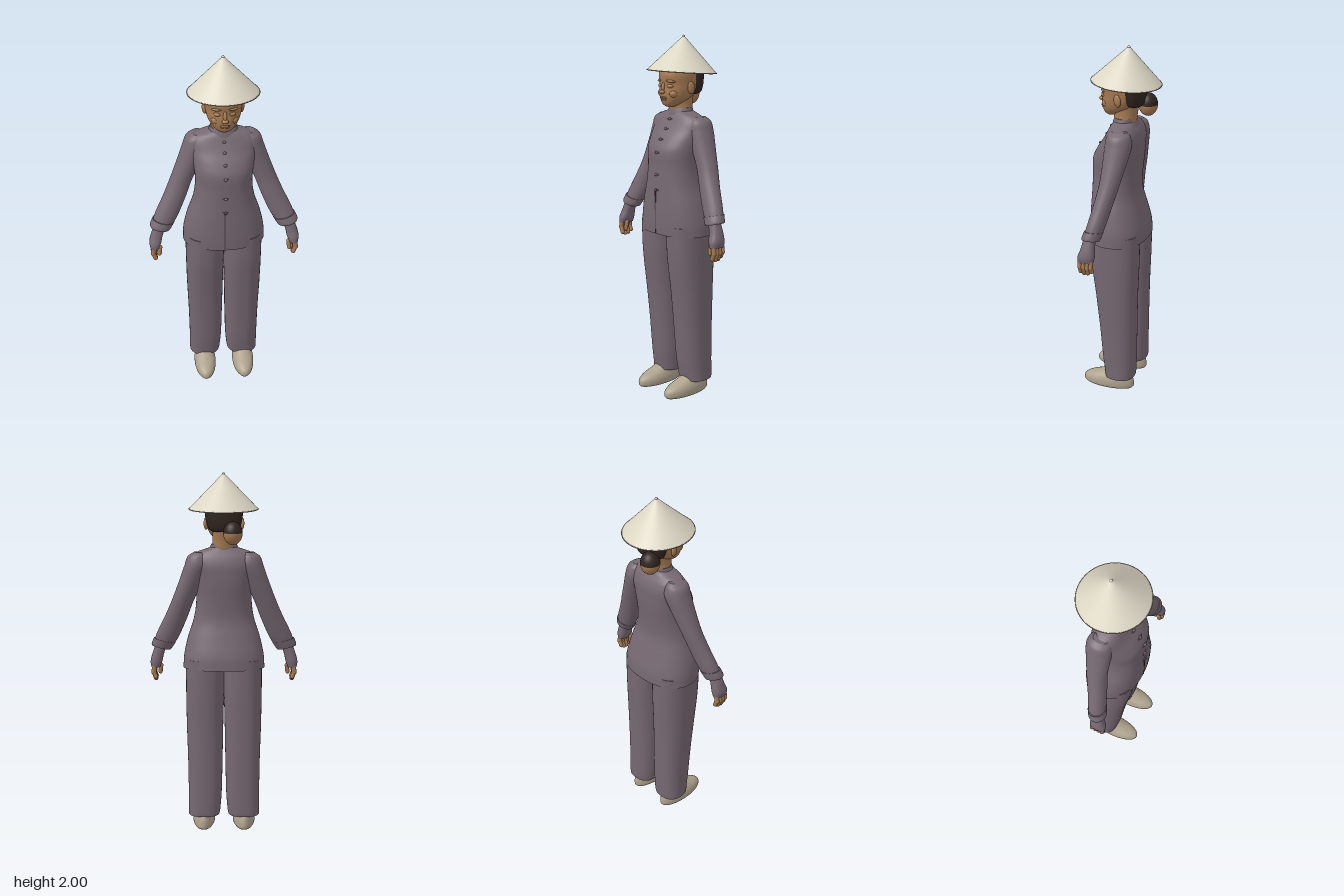
import * as THREE from 'three';

const mat = (name, color, side = THREE.FrontSide) => {
  const m = new THREE.MeshStandardMaterial({ color, side });
  m.name = name;
  return m;
};

// Smooth value of every column of a row table at height y
function rowAt(rows, y) {
  const last = rows.length - 1;
  let i = 0;
  while (i < last - 1 && y > rows[i + 1][0]) i++;
  const a = rows[i], b = rows[i + 1], h = b[0] - a[0];
  const t = Math.min(1, Math.max(0, (y - a[0]) / h));
  const slope = (k, c) => {
    const p = rows[Math.max(0, k - 1)], q = rows[Math.min(last, k + 1)];
    return (q[c] - p[c]) / (q[0] - p[0]);
  };
  return a.map((v, c) => c === 0 ? y :
    v * (2 * t ** 3 - 3 * t * t + 1) + b[c] * (3 * t * t - 2 * t ** 3) +
    h * (slope(i, c) * (t ** 3 - 2 * t * t + t) + slope(i + 1, c) * (t ** 3 - t * t)));
}

// Capped body through horizontal sections, rows ascending:
// [y, centre x, back z, front z, half width, slant of the section]
function loftGeometry(rows, { power = 2, side = 1, n = 40, steps = 5 } = {}) {
  const round = v => Math.sign(v) * Math.abs(v) ** (2 / power);
  const ring = ([y, cx, zb, zf, rx, slant = 0], scale = 1) =>
    Array.from({ length: n }, (_, j) => {
      const a = j / n * Math.PI * 2, dx = round(Math.cos(a)) * rx * scale;
      const z = (zb + zf) / 2 + round(Math.sin(a)) * (zf - zb) / 2 * scale;
      return [side * cx + dx, y + slant * side * dx, z];
    });
  const levels = [rows[0]];
  for (let i = 0; i < rows.length - 1; i++)
    for (let k = 1; k <= steps; k++)
      levels.push(rowAt(rows, rows[i][0] + (rows[i + 1][0] - rows[i][0]) * k / steps));
  const end = levels[levels.length - 1];
  const rings = [ring(rows[0], 0), ring(rows[0]), ...levels.map(l => ring(l)), ring(end), ring(end, 0)];
  const index = [];
  for (let i = 0; i < rings.length - 1; i++) {
    if (i === 1 || i === rings.length - 3) continue; // keeps cap edges sharp
    for (let j = 0; j < n; j++) {
      const a = i * n + j, b = i * n + (j + 1) % n;
      index.push(a, a + n, b, b, a + n, b + n);
    }
  }
  const g = new THREE.BufferGeometry();
  g.setAttribute('position', new THREE.Float32BufferAttribute(rings.flat(2), 3));
  g.setIndex(index);
  g.computeVertexNormals();
  return g;
}

export function createModel() {
  const model = new THREE.Group();
  const cloth = mat('mauve cloth', 0x766872);
  const seam = mat('dark seam', 0x4a4048);
  const skin = mat('skin', 0xa67a52);
  const hair = mat('dark hair', 0x30241f);
  const straw = mat('pale straw', 0xdcd6c4, THREE.DoubleSide);
  const edge = mat('straw edge', 0x8d8872);
  const shoeMat = mat('beige shoe', 0xaea28d);

  const add = (name, geometry, material, pos = [0, 0, 0], scale = [1, 1, 1], rot = [0, 0, 0]) => {
    const m = new THREE.Mesh(geometry, material);
    m.name = name;
    m.position.set(...pos);
    m.scale.set(...scale);
    m.rotation.set(...rot);
    model.add(m);
    return m;
  };
  const loft = (name, material, rows, opts) => add(name, loftGeometry(rows, opts), material);
  const ball = (name, material, pos, scale, rot) =>
    add(name, new THREE.SphereGeometry(1, 24, 16), material, pos, scale, rot);

  // Jacket body
  const jacket = [
    [0.93, 0, -0.145, 0.172, 0.227], [1.0, 0, -0.14, 0.174, 0.222], [1.1, 0, -0.115, 0.172, 0.2],
    [1.2, 0, -0.092, 0.168, 0.168], [1.3, 0, -0.095, 0.165, 0.154], [1.39, 0, -0.104, 0.162, 0.16],
    [1.45, 0, -0.106, 0.134, 0.168], [1.5, 0, -0.105, 0.1, 0.176], [1.545, 0, -0.092, 0.075, 0.175],
    [1.575, 0, -0.075, 0.06, 0.14], [1.592, 0, -0.066, 0.05, 0.09], [1.6, 0, -0.062, 0.046, 0.07]];
  loft('jacket', cloth, jacket, { power: 2.3, n: 56 });
  loft('collar', cloth, [[1.57, 0, -0.07, 0.062, 0.082], [1.595, 0, -0.068, 0.056, 0.077], [1.615, 0, -0.066, 0.05, 0.07]]);
  const frontZ = y => rowAt(jacket, y)[3];

  // Front opening and fastenings
  add('frontSeam', new THREE.BoxGeometry(0.005, 0.235, 0.006), seam, [-0.004, 1.05, 0.172]);
  for (const y of [1.555, 1.505, 1.45, 1.38, 1.26, 1.175]) {
    const tilt = Math.atan2(frontZ(y + 0.01) - frontZ(y - 0.01), 0.02);
    add('fastening', new THREE.BoxGeometry(0.034, 0.007, 0.008), cloth, [0, y, frontZ(y)], [1, 1, 1], [tilt, 0, 0]);
    ball('button', y < 1.2 ? seam : cloth, [0, y, frontZ(y) + 0.004], [0.009, 0.008, 0.007]);
  }

  for (const side of [1, -1]) {
    // Sleeve and folded cuff
    loft('sleeve', cloth, [
      [1.035, 0.35, 0.012, 0.102, 0.05, 0.25], [1.1, 0.317, -0.005, 0.09, 0.059, 0.25],
      [1.2, 0.27, -0.028, 0.072, 0.06, 0.15], [1.3, 0.229, -0.052, 0.056, 0.061, 0],
      [1.42, 0.178, -0.078, 0.052, 0.066, 0], [1.5, 0.147, -0.092, 0.052, 0.069, 0],
      [1.55, 0.142, -0.082, 0.042, 0.055, 0], [1.572, 0.135, -0.06, 0.02, 0.03, 0]], { side });
    loft('cuff', cloth, [
      [1.03, 0.354, 0.012, 0.108, 0.053, 0.25], [1.04, 0.35, 0.009, 0.109, 0.057, 0.25],
      [1.072, 0.333, 0.0, 0.1, 0.06, 0.25]], { side });

    // Covered palm, fingers and thumb
    loft('palm', cloth, [
      [0.915, 0.387, 0.034, 0.122, 0.025], [0.945, 0.383, 0.03, 0.122, 0.033],
      [0.985, 0.374, 0.032, 0.108, 0.033], [1.05, 0.352, 0.035, 0.095, 0.032]], { side, power: 2.4 });
    for (let i = 0; i < 4; i++) {
      const z = 0.046 + i * 0.0205, drop = [0.014, 0.002, 0, 0.008][i];
      add('finger', new THREE.CapsuleGeometry(0.0125, 0.038, 6, 12), skin,
        [side * 0.394, 0.9 + drop * 0.4, z], [1.15, 1, 1], [0, 0, side * 0.15]);
      add('fingertip', new THREE.CapsuleGeometry(0.0115, 0.028, 6, 12), skin,
        [side * 0.39, 0.86 + drop, z], [1.1, 1, 1], [0, 0, side * -0.35]);
    }
    add('thumb', new THREE.CapsuleGeometry(0.012, 0.04, 6, 12), skin,
      [side * 0.36, 0.9, 0.098], [1, 1, 1], [-0.15, 0, side * 0.12]);

    // Trouser leg
    loft('trouserLeg', cloth, [
      [0.08, 0.113, -0.105, 0.066, 0.088], [0.1, 0.111, -0.107, 0.068, 0.09],
      [0.2, 0.107, -0.108, 0.082, 0.094], [0.4, 0.106, -0.11, 0.1, 0.098],
      [0.6, 0.107, -0.113, 0.121, 0.103], [0.8, 0.106, -0.12, 0.146, 0.107],
      [0.98, 0.105, -0.122, 0.154, 0.108]], { side, power: 2.4 });

    // Soft shoe
    loft('shoe', shoeMat, [
      [0, 0.115, -0.092, 0.195, 0.054], [0.012, 0.115, -0.1, 0.204, 0.062],
      [0.04, 0.115, -0.099, 0.2, 0.063], [0.062, 0.115, -0.094, 0.17, 0.058],
      [0.08, 0.115, -0.086, 0.12, 0.052], [0.105, 0.115, -0.075, 0.06, 0.045]], { side });

    // Ear, eyelid, brow and cheek
    ball('ear', skin, [side * 0.098, 1.725, 0.004], [0.012, 0.034, 0.021], [0.15, side * -0.3, 0]);
    ball('eyelid', skin, [side * 0.038, 1.735, 0.1], [0.02, 0.011, 0.014], [0, side * 0.3, 0]);
    ball('brow', skin, [side * 0.04, 1.762, 0.1], [0.03, 0.008, 0.014], [0, side * 0.35, side * -0.1]);
    ball('cheek', skin, [side * 0.045, 1.695, 0.082], [0.026, 0.024, 0.026]);
  }

  // Neck and head
  loft('neck', skin, [[1.59, 0, -0.068, 0.05, 0.068], [1.64, 0, -0.074, 0.056, 0.062], [1.7, 0, -0.085, 0.06, 0.065]]);
  loft('head', skin, [
    [1.622, 0, 0.05, 0.09, 0.024], [1.635, 0, 0.01, 0.107, 0.045], [1.665, 0, -0.05, 0.117, 0.074],
    [1.7, 0, -0.088, 0.12, 0.09], [1.74, 0, -0.105, 0.115, 0.097], [1.8, 0, -0.108, 0.118, 0.1],
    [1.86, 0, -0.095, 0.085, 0.08], [1.895, 0, -0.05, 0.02, 0.03]]);
  ball('noseBridge', skin, [0, 1.727, 0.118], [0.01, 0.03, 0.011], [-0.2, 0, 0]);
  ball('noseTip', skin, [0, 1.704, 0.126], [0.018, 0.011, 0.015]);
  ball('upperLip', skin, [0, 1.673, 0.116], [0.026, 0.006, 0.01]);
  ball('lowerLip', skin, [0, 1.662, 0.114], [0.021, 0.006, 0.009]);

  // Hair and two-tone bun
  loft('hair', hair, [
    [1.685, 0, -0.1, -0.03, 0.06], [1.7, 0, -0.112, -0.022, 0.083], [1.76, 0, -0.117, -0.016, 0.1],
    [1.82, 0, -0.113, -0.012, 0.1], [1.87, 0, -0.09, -0.01, 0.07]], { power: 2.4 });
  [['bunTop', hair, 0], ['bunBottom', skin, Math.PI / 2]].forEach(([name, m, start]) =>
    add(name, new THREE.SphereGeometry(1, 28, 12, 0, Math.PI * 2, start, Math.PI / 2), m,
      [-0.048, 1.68, -0.118], [0.052, 0.063, 0.052]));

  // Conical straw hat, tipped back
  const hat = new THREE.Group();
  hat.name = 'hat';
  hat.position.set(0.002, 1.805, -0.013);
  hat.rotation.x = -0.075;
  model.add(hat);
  const crown = add('hatCone', new THREE.ConeGeometry(0.189, 0.193, 72, 6, true), straw, [0, 0.0965, 0]);
  const rim = add('hatRim', new THREE.TorusGeometry(0.1875, 0.0028, 8, 72), edge, [0, 0, 0], [1, 1, 1], [Math.PI / 2, 0, 0]);
  const tip = add('hatTip', new THREE.SphereGeometry(0.008, 16, 10), straw, [0, 0.187, 0]);
  hat.add(crown, rim, tip);

  return model;
}
